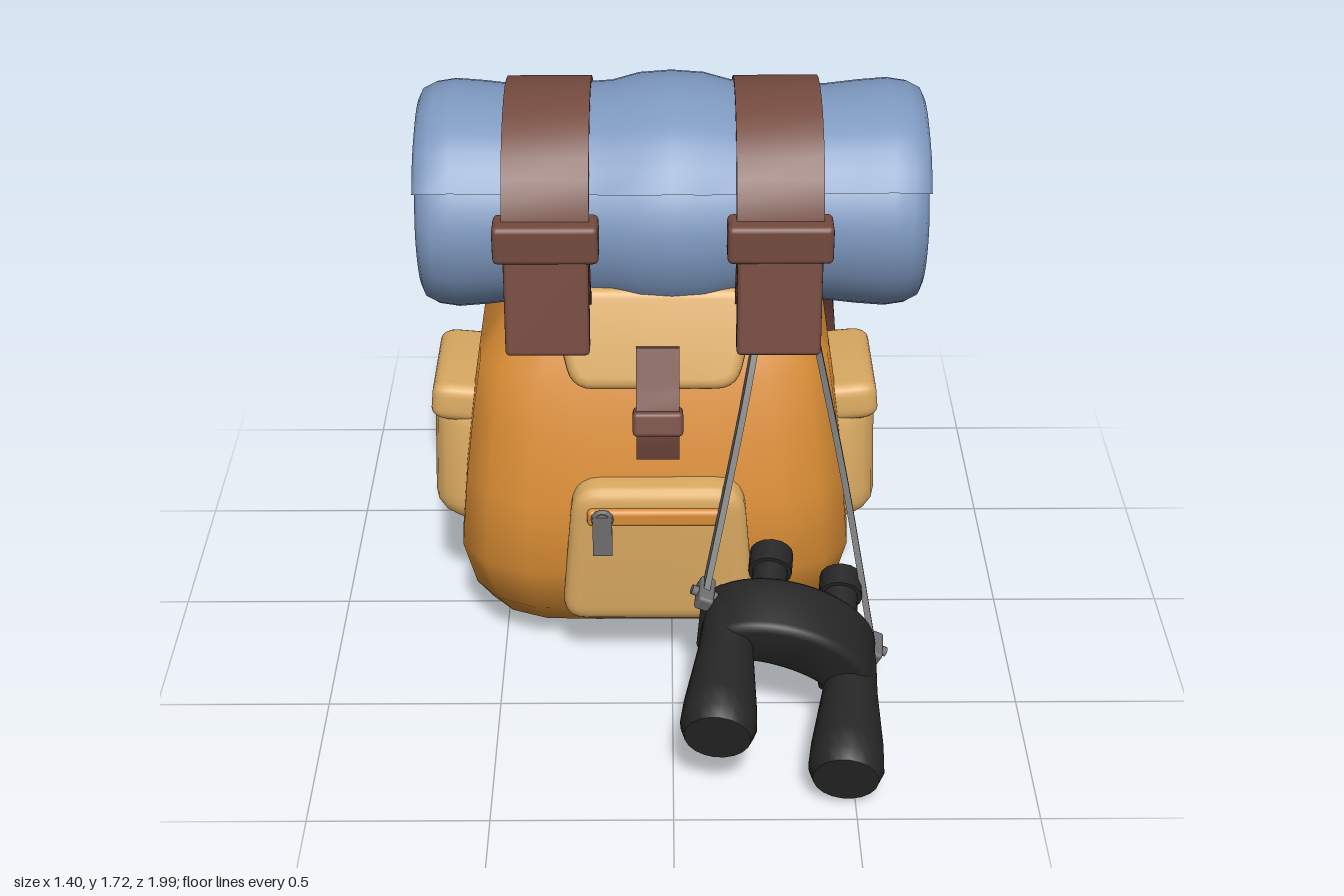
import * as THREE from 'three';
import { toCreasedNormals } from 'three/addons/utils/BufferGeometryUtils.js';
import { RoundedBoxGeometry } from 'three/addons/geometries/RoundedBoxGeometry.js';

const V = (x, y, z) => new THREE.Vector3(x, y, z);
const material = (name, color) => Object.assign(new THREE.MeshStandardMaterial({ color }), { name });

// Skin a list of equal-length rings (even point count) and cap both ends with strips.
function loft(rings, crease = 0.7) {
  const N = rings[0].length, last = (rings.length - 1) * N, index = [];
  for (let r = 0; r < rings.length - 1; r++) for (let i = 0; i < N; i++) {
    const j = (i + 1) % N, a = r * N + i, b = r * N + j;
    index.push(a, b, b + N, a, b + N, a + N);
  }
  for (let i = 0; i < N / 2 - 1; i++) {
    const j = i + 1, k = N - 2 - i, l = N - 1 - i;
    index.push(j, i, l, j, l, k, last + i, last + j, last + k, last + i, last + k, last + l);
  }
  // turn the faces outward if the enclosed volume is negative
  const p = rings.flat();
  let volume = 0;
  for (let i = 0; i < index.length; i += 3)
    volume += p[index[i]].dot(p[index[i + 1]].clone().cross(p[index[i + 2]]));
  if (volume < 0) index.reverse();
  const g = new THREE.BufferGeometry().setFromPoints(p);
  g.setIndex(index);
  return toCreasedNormals(g, crease);
}

// Flat band of width w and thickness t along a curve, width lying along `side`.
function ribbon(points, w, t, side, steps = 16, closed = false) {
  const curve = new THREE.CatmullRomCurve3(points, closed), rings = [];
  for (let i = 0; i <= steps; i++) {
    const c = curve.getPoint(i / steps), d = curve.getTangent(i / steps);
    const s = side.clone().addScaledVector(d, -side.dot(d)).normalize(), n = d.cross(s);
    rings.push([[-1, -1], [1, -1], [1, 1], [-1, 1]].map(([a, b]) =>
      c.clone().addScaledVector(s, a * w / 2).addScaledVector(n, b * t / 2)));
  }
  return loft(rings);
}

// Padded plate from a polygon with rounded corners; its front lies at z = 0.
function pad(corners, depth, bevel, round, bulge = bevel) {
  const pts = corners.map(([x, y]) => new THREE.Vector2(x, y)), n = pts.length, shape = new THREE.Shape();
  pts.forEach((p, i) => {
    const toward = q => p.clone().add(q.clone().sub(p).setLength(round));
    const a = toward(pts[(i + n - 1) % n]), b = toward(pts[(i + 1) % n]);
    if (i) shape.lineTo(a.x, a.y); else shape.moveTo(a.x, a.y);
    shape.quadraticCurveTo(p.x, p.y, b.x, b.y);
  });
  shape.closePath();
  const g = new THREE.ExtrudeGeometry(shape, {
    depth: depth - bulge, bevelThickness: bulge, bevelSize: bevel, bevelOffset: -bevel, bevelSegments: 4, curveSegments: 5 });
  return toCreasedNormals(g.translate(0, 0, -depth), 0.8);
}

export function createModel() {
  const orange = material('orange canvas', 0xd88c34), tan = material('tan canvas', 0xd9a961);
  const brown = material('brown leather', 0x744a3f), blue = material('blue blanket', 0x7c97be);
  const black = material('black rubber', 0x262626), grey = material('grey metal', 0x6d6d6d);
  const model = new THREE.Group();
  model.name = 'backpack';
  const add = (name, geometry, mat, pos = [0, 0, 0], rot = [0, 0, 0], parent = model) => {
    const m = new THREE.Mesh(geometry, mat);
    m.name = name;
    m.position.set(...pos);
    m.rotation.set(...rot);
    parent.add(m);
    return m;
  };
  const X = V(1, 0, 0), Z = V(0, 0, 1), cx = -0.05;

  // Bag: sections with bevelled corners [y, half width, back z, front z]
  const sections = [[0, 0.3, -0.19, -0.02], [0.08, 0.5, -0.46, 0.2], [0.2, 0.54, -0.49, 0.31], [0.38, 0.57, -0.485, 0.385],
    [0.6, 0.55, -0.47, 0.36], [0.8, 0.525, -0.445, 0.31], [0.96, 0.5, -0.41, 0.26], [1.1, 0.4, -0.35, 0.2], [1.2, 0.3, -0.28, 0.13]];
  const corner = [[1, 0], [1, 0.35], [0.985, 0.65], [0.86, 0.86], [0.65, 0.985], [0.35, 1]];
  const outline = [[1, 0], [0, 1], [-1, 0], [0, -1]].flatMap(([c, s]) => corner.map(([u, v]) => [u * c - v * s, u * s + v * c]));
  add('bag', loft(sections.map(([y, hx, zb, zf]) => outline.map(([u, v]) =>
    V(cx + hx * u, y, (zb + zf) / 2 + (zf - zb) / 2 * v))), 1.4), orange);

  // Top flap and its clasp
  add('topFlap', pad([[-0.23, -0.13], [0.23, -0.13], [0.3, 0.16], [-0.3, 0.16]], 0.12, 0.03, 0.06), tan,
    [cx, 1.07, 0.265], [-0.36, 0, 0]);
  add('claspStrap', ribbon([V(-0.04, 1.07, 0.28), V(-0.04, 0.96, 0.325), V(-0.04, 0.87, 0.36), V(-0.04, 0.75, 0.335)],
    0.12, 0.03, X, 8), brown);
  add('claspLoop', new RoundedBoxGeometry(0.14, 0.07, 0.07, 2, 0.012), brown, [-0.04, 0.875, 0.355], [-0.25, 0, 0]);

  // Front pocket with zip
  add('frontPocket', pad([[-0.28, -0.23], [0.28, -0.23], [0.24, 0.23], [-0.24, 0.23]], 0.14, 0.05, 0.08, 0.03), tan,
    [-0.04, 0.45, 0.412], [0.03, 0, 0]);
  add('zip', new RoundedBoxGeometry(0.38, 0.055, 0.04, 2, 0.015), orange, [-0.05, 0.6, 0.415]);
  add('zipRing', new THREE.TorusGeometry(0.024, 0.008, 6, 14), grey, [-0.197, 0.605, 0.438]);
  add('zipPull', new THREE.BoxGeometry(0.055, 0.13, 0.015), grey, [-0.197, 0.55, 0.438]);

  // Side pockets with flaps
  for (const s of [-1, 1]) {
    const pocket = new THREE.Group();
    pocket.name = s > 0 ? 'leftPocket' : 'rightPocket';
    pocket.position.set(cx + s * 0.64, 0, -0.07);
    pocket.rotation.y = s * Math.PI / 2;
    model.add(pocket);
    add('pouch', pad([[-0.235, -0.2], [0, -0.22], [0.235, -0.2], [0.18, 0.22], [-0.18, 0.22]], 0.2, 0.09, 0.1, 0.12), tan,
      [0, 0.59, 0.005], [-0.03, 0, 0], pocket);
    add('pouchFlap', pad([[-0.19, -0.04], [0, -0.085], [0.19, -0.04], [0.18, 0.07], [-0.18, 0.07]], 0.15, 0.03, 0.035, 0.05), tan,
      [0, 0.775, 0.005], [-0.1, 0, 0], pocket);
  }

  // Rolled blanket: spiral section [degrees, radius, half thickness] swept along x with pinches
  const spiral = [[25, 0.342, 0.03], [62, 0.292, 0.052], [180, 0.283, 0.06], [270, 0.28, 0.06], [360, 0.256, 0.07],
    [405, 0.215, 0.08], [450, 0.163, 0.065], [540, 0.125, 0.065], [645, 0.118, 0.06]];
  const layer = deg => {
    const i = Math.max(1, spiral.findIndex(k => k[0] >= deg));
    const [a, r, h] = spiral[i - 1], [b, q, g] = spiral[i], t = (deg - a) / (b - a);
    return [r + (q - r) * t, h + (g - h) * t];
  };
  const rollRing = (x, scaleY, scaleZ, thick) => {
    const outer = [], inner = [], n = 62;
    for (let i = 0; i <= n; i++) {
      const deg = 25 + 620 * i / n, a = deg * Math.PI / 180, [radius, half] = layer(deg);
      const h = half * thick * Math.min(1, 0.6 + Math.min(i, n - i) * 0.2);
      const at = r => V(x, 1.375 + Math.sin(a) * r * scaleY, -0.06 + Math.cos(a) * r * scaleZ);
      outer.push(at(radius + h));
      inner.unshift(at(radius - h));
    }
    return [...outer, ...inner];
  };
  const half = [[0.09, 0.99, 0.98, 1], [0.165, 0.93, 0.92, 1], [0.33, 0.9, 0.88, 1], [0.43, 0.9, 0.87, 1], [0.52, 0.93, 0.9, 1],
    [0.6, 0.95, 0.91, 1], [0.655, 0.93, 0.91, 0.95], [0.69, 0.9, 0.88, 0.8], [0.7, 0.88, 0.86, 0.5]];
  const stations = [...half.map(([x, ...k]) => [-x, ...k]).reverse(), [0, 1.01, 0.995, 1], ...half];
  add('blanketRoll', loft(stations.map(k => rollRing(...k)), 1.0), blue);

  // Straps around the blanket with loops and hanging ends
  for (const x of [-0.34, 0.29]) {
    const circle = Array.from({ length: 16 }, (_, i) => {
      const a = i / 16 * Math.PI * 2;
      return V(x, 1.375 + 0.315 * Math.sin(a), -0.052 + 0.334 * Math.cos(a));
    });
    add('blanketStrap', ribbon(circle, 0.235, 0.032, X, 32, true), brown);
    add('strapLoop', new RoundedBoxGeometry(0.285, 0.11, 0.1, 2, 0.015), brown, [x, 1.405, 0.28]);
    add('strapEnd', new RoundedBoxGeometry(0.23, 0.28, 0.07, 2, 0.012), brown, [x, 1.22, 0.305], [-0.12, 0, 0]);
  }

  // Shoulder straps
  for (const s of [-1, 1]) {
    const path = [[0.3, 1.04, -0.33], [0.355, 1.0, -0.48], [0.43, 0.83, -0.68], [0.48, 0.6, -0.87], [0.51, 0.31, -0.97],
      [0.51, 0.135, -0.83], [0.48, 0.18, -0.61], [0.42, 0.25, -0.39]];
    add(s > 0 ? 'leftShoulderStrap' : 'rightShoulderStrap',
      ribbon(path.map(([x, y, z]) => V(s * x, y, z)), 0.11, 0.045, X, 28), brown);
  }

  // Binoculars
  const binoculars = new THREE.Group();
  binoculars.name = 'binoculars';
  binoculars.position.set(0.33, 0.285, 0.6);
  binoculars.rotation.set(0.25, -0.1, -0.39);
  model.add(binoculars);
  const barrel = toCreasedNormals(new THREE.LatheGeometry([[0, -0.1], [0.06, -0.1], [0.072, 0], [0.078, 0.1], [0.1, 0.28],
    [0.104, 0.35], [0.09, 0.385], [0, 0.385]].map(([r, y]) => new THREE.Vector2(r, y)), 20).rotateX(Math.PI / 2), 0.7);
  const arch = new THREE.Shape();
  arch.absellipse(0, -0.03, 0.24, 0.17, 0, Math.PI, false);
  arch.absellipse(0, -0.03, 0.13, 0.04, Math.PI, 0, true);
  const bridge = new THREE.ExtrudeGeometry(arch, { depth: 0.14, bevelThickness: 0.025, bevelSize: 0.02, bevelSegments: 3, curveSegments: 16 });
  add('bridge', toCreasedNormals(bridge.translate(0, 0, -0.08), 0.8), black, [0, 0, 0], [0, 0, 0], binoculars);
  for (const s of [-1, 1]) {
    add('barrel', barrel, black, [s * 0.19, 0, 0], [0, 0, 0], binoculars);
    add('eyepieceTube', new THREE.CylinderGeometry(0.05, 0.05, 0.14, 16), black, [s * 0.11, 0.08, -0.13], [Math.PI / 2, 0, 0], binoculars);
    add('eyecup', new THREE.CylinderGeometry(0.062, 0.062, 0.07, 16), black, [s * 0.11, 0.08, -0.2], [Math.PI / 2, 0, 0], binoculars);
  }

  // Carrying cords and the lugs they hang from
  const cords = [[V(0.25, 1.15, 0.18), V(0.21, 0.95, 0.29), V(0.15, 0.68, 0.42), V(0.09, 0.43, 0.55)],
    [V(0.38, 1.15, 0.18), V(0.42, 0.97, 0.22), V(0.49, 0.65, 0.32), V(0.575, 0.2, 0.5)]];
  for (const path of cords) {
    add('cord', ribbon(path, 0.042, 0.018, Z, 12), grey);
    add('lug', new RoundedBoxGeometry(0.045, 0.05, 0.09, 2, 0.01), grey, path[3].toArray(), [0.25, -0.1, -0.39]);
    add('lugPin', new THREE.CylinderGeometry(0.014, 0.014, 0.08, 10), grey, path[3].toArray(), [0.25, -0.1, -0.39 + Math.PI / 2]);
  }
  return model;
}
